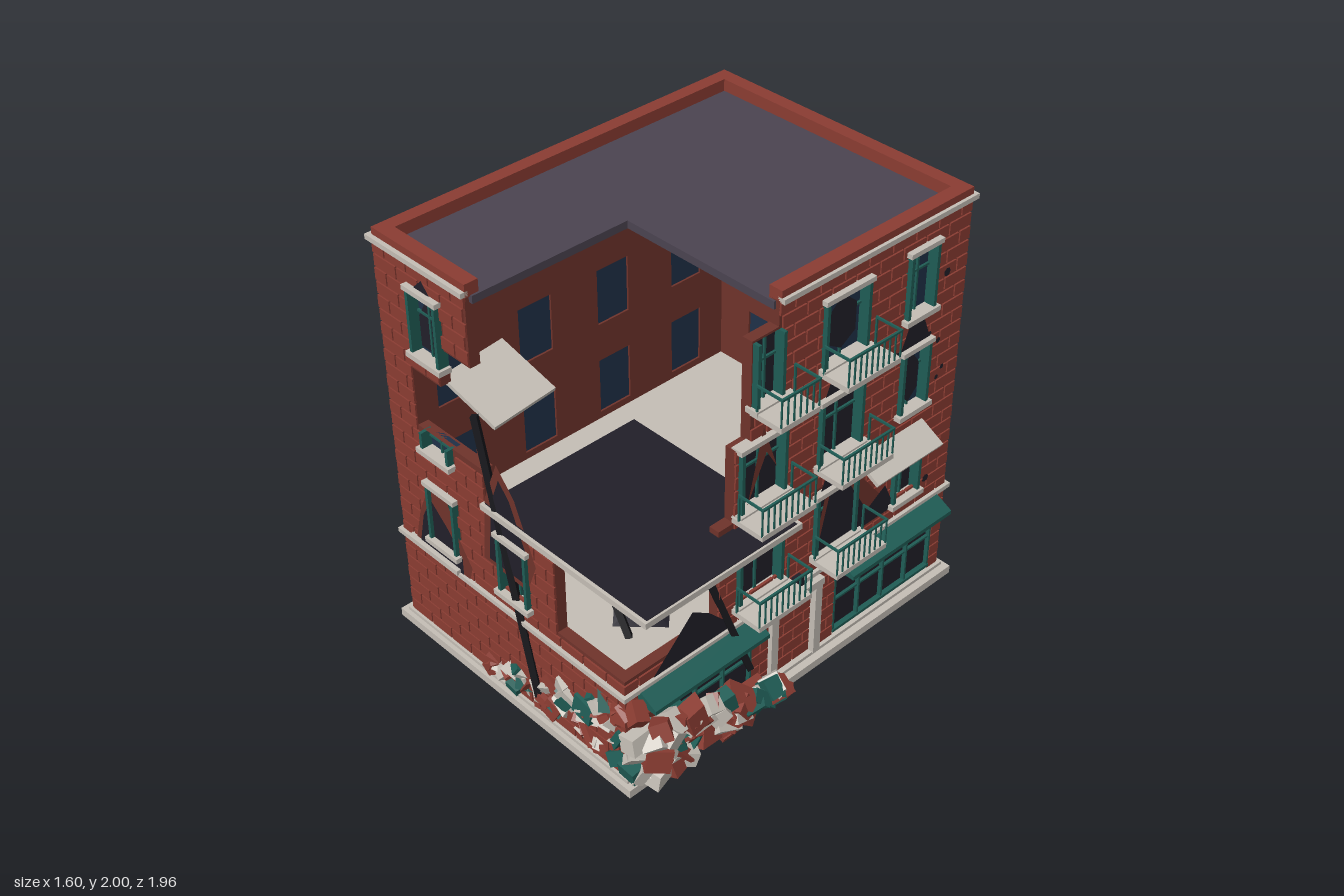
import * as THREE from 'three';
import { mergeGeometries } from 'three/addons/utils/BufferGeometryUtils.js';

const C = { brick: 0x8a3c32, inner: 0x6f332b, stone: 0xc4beb5, teal: 0x1f5c55, dark: 0x211f29, roof: 0x4b4350, glass: 0x1f3048, beam: 0x16161a };
const mats = {};
const mat = (c) => (mats[c] ??= new THREE.MeshStandardMaterial({ color: C[c], side: THREE.DoubleSide }));
const FLOORS = [0.6, 1.07, 1.54];

let seed = 7;
const rnd = () => (seed = (seed * 16807) % 2147483647) / 2147483647;

function add(parent, name, color, geo) {
  const m = new THREE.Mesh(geo, mat(color));
  m.name = name;
  parent.add(m);
  return m;
}
// box from ranges [x0, x1, y0, y1, z0, z1]
const box = ([x0, x1, y0, y1, z0, z1]) =>
  new THREE.BoxGeometry(x1 - x0, y1 - y0, z1 - z0).translate((x0 + x1) / 2, (y0 + y1) / 2, (z0 + z1) / 2);
const boxes = (p, name, color, list) => add(p, name, color, mergeGeometries(list.map(box)));

// solid intervals of the strip y0..y1 between a and b, minus rectangular gaps [u0, u1, y0, y1]
function spans(a, b, y0, y1, gaps) {
  let out = [[a, b]];
  for (const [g0, g1, h0, h1] of gaps) {
    if (h1 <= y0 + 1e-4 || h0 >= y1 - 1e-4) continue;
    out = out.flatMap(([s, e]) => [[s, Math.min(e, g0)], [Math.max(s, g1), e]].filter(([p, q]) => q - p > 0.004));
  }
  return out;
}

// wall in local axes: u along, y up, outside facing +z
function wall(root, name, angle, offset, a, b, gaps) {
  const g = new THREE.Group();
  g.name = name;
  g.rotation.y = angle;
  g.position.set(Math.sin(angle) * offset, 0, Math.cos(angle) * offset);
  root.add(g);
  const ys = [...new Set([0.05, 1.95, ...gaps.flatMap((q) => [q[2], q[3]])])].sort((p, q) => p - q);
  const core = [], bricks = [];
  for (let i = 0; i + 1 < ys.length; i++)
    for (const [s, e] of spans(a, b, ys[i], ys[i + 1], gaps)) core.push([s, e, ys[i], ys[i + 1], -0.05, 0]);
  const H = 0.0633, W = 0.135;
  for (let r = 0; r < 30; r++) {
    const y = 0.05 + r * H, mid = y + H / 2;
    for (const [s, e] of spans(a - 0.008, b + 0.008, mid - 0.01, mid + 0.01, gaps))
      for (let u = a - (r % 2) * W / 2; u < b; u += W) {
        const p = Math.max(s, u + 0.004), q = Math.min(e, u + W - 0.004);
        if (q - p > 0.012) bricks.push([p, q, y + 0.004, y + H - 0.004, -0.004, 0.008]);
      }
  }
  boxes(g, 'wallCore', 'inner', core);
  boxes(g, 'bricks', 'brick', bricks);
  return g;
}

// framed window with lintel and sill
function windowUnit(p, u, y, w, h, pane = 'glass', lintel = true) {
  const g = new THREE.Group(), k = w / 2;
  g.name = 'window';
  g.position.set(u, y, 0);
  p.add(g);
  boxes(g, 'pane', pane, [[-k, k, 0, h, -0.04, -0.02]]);
  boxes(g, 'frame', 'teal', [[-k, -k + 0.016, 0, h, -0.03, 0.03], [k - 0.016, k, 0, h, -0.03, 0.03],
    [-0.005, 0.005, 0, h, -0.02, -0.01], [-k, k, h * 0.62, h * 0.62 + 0.01, -0.02, -0.01]]);
  const trim = [[-k - 0.015, k + 0.015, -0.02, 0.004, -0.02, 0.042]];
  if (lintel) trim.push([-k - 0.012, k + 0.012, h - 0.004, h + 0.018, -0.02, 0.035]);
  boxes(g, 'stoneTrim', 'stone', trim);
}

function balcony(p, u, y, w) {
  const g = new THREE.Group(), k = w / 2, D = 0.165;
  g.name = 'balcony';
  g.position.set(u, y - 0.03, 0);
  p.add(g);
  boxes(g, 'balconySlab', 'stone', [[-k, k, 0, 0.025, 0, D]]);
  const bars = [[-k, k, 0.145, 0.155, D - 0.01, D]];
  for (const s of [-k, k - 0.008]) bars.push([s, s + 0.008, 0.145, 0.155, 0.03, D], [s, s + 0.008, 0.02, 0.15, 0.03, 0.038]);
  const n = Math.round(w / 0.035);
  for (let i = 0; i <= n; i++) {
    const x = -k + (i / n) * (w - 0.006);
    bars.push([x, x + 0.006, 0.02, 0.15, D - 0.008, D - 0.002]);
  }
  boxes(g, 'railing', 'teal', bars);
}

// flat ragged patch on a wall
function patch(p, name, color, pts, z = 0.012) {
  add(p, name, color, new THREE.ShapeGeometry(new THREE.Shape(pts.map(([x, y]) => new THREE.Vector2(x, y)))).translate(0, 0, z));
}

function beam(p, a, b, r = 0.02) {
  const A = new THREE.Vector3(...a), B = new THREE.Vector3(...b), d = B.clone().sub(A);
  const m = add(p, 'fallenBeam', 'beam', new THREE.CylinderGeometry(r, r, d.length(), 4).toNonIndexed());
  m.geometry.computeVertexNormals();
  m.position.copy(A.add(B).multiplyScalar(0.5));
  m.quaternion.setFromUnitVectors(new THREE.Vector3(0, 1, 0), d.normalize());
}

function slab(p, name, size, pos, rot) {
  const m = add(p, name, 'stone', new THREE.BoxGeometry(...size));
  m.position.set(...pos);
  m.rotation.set(...rot);
}

export function createModel() {
  const root = new THREE.Group();
  root.name = 'ruinedBuilding';
  const hole = (u, y, w, h) => [u - w / 2, u + w / 2, y, y + h];
  const grid = (us) => us.flatMap((u) => FLOORS.map((y) => [u, y, 0.18, 0.28]));

  // plinth, floors and roof
  boxes(root, 'plinth', 'stone', [[-0.8, 0.69, 0, 0.04, -0.98, 0.98], [-0.77, 0.655, 0.04, 0.056, -0.96, 0.96]]);
  boxes(root, 'lowerFloor', 'stone', [[-0.72, 0.61, 0.54, 0.565, -0.91, 0.92]]);
  boxes(root, 'brokenFloorSlab', 'stone', [[-0.17, 0.79, 0.972, 1, 0.14, 0.97]]);
  boxes(root, 'floorSurface', 'dark', [[-0.155, 0.78, 0.99, 1.003, 0.16, 0.955]]);
  boxes(root, 'roof', 'roof', [[-0.73, 0.61, 1.91, 1.945, -0.92, 0.15], [-0.73, -0.18, 1.91, 1.945, 0.15, 0.92]]);
  boxes(root, 'parapet', 'brick', [[-0.755, -0.69, 1.94, 2, -0.945, 0.945], [-0.69, -0.19, 1.94, 2, 0.88, 0.945],
    [-0.69, 0.64, 1.94, 2, -0.945, -0.88], [0.575, 0.64, 1.94, 2, -0.88, 0.14]]);
  const band = (name, y0, y1, o, fx, rz) => boxes(root, name, 'stone', [
    [-0.75 - o, -0.74, y0, y1, -0.94 - o, 0.94 + o], [-0.74, 0.63 + o, y0, y1, -0.94 - o, -0.93],
    [-0.74, fx, y0, y1, 0.93, 0.94 + o], [0.62, 0.63 + o, y0, y1, -0.93, rz]]);
  band('cornice', 1.945, 1.968, 0.025, -0.19, 0.14);
  band('stringCourse', 0.488, 0.51, 0.025, 0.655, 0.965);

  // intact back and left walls
  for (const [name, angle, off, a, b, us] of [['backWall', Math.PI, 0.94, -0.63, 0.75, [-0.4, 0, 0.43]],
    ['leftWall', -Math.PI / 2, 0.75, -0.94, 0.94, [-0.66, -0.22, 0.22, 0.66]]]) {
    const ws = grid(us);
    const w = wall(root, name, angle, off, a, b, ws.map((q) => hole(...q)));
    ws.forEach((q) => windowUnit(w, ...q));
  }

  // front wall with its collapsed corner
  const fw = [[-0.45, 0.6, 0.18, 0.28, 'dark'], [0, 0.6, 0.18, 0.28, 'dark'], [-0.45, 1.07, 0.18, 0.08, 'glass', false], [-0.45, 1.54, 0.18, 0.29, 'glass']];
  const front = wall(root, 'frontWall', 0, 0.94, -0.75, 0.63, [[0.24, 0.64, 0.57, 0.98], [-0.17, 0.64, 0.98, 1.95],
    [-0.58, -0.17, 1.15, 1.43], [-0.4, -0.17, 1.43, 1.62], [-0.2, -0.17, 1.62, 1.95], ...fw.map((q) => hole(...q))]);
  fw.forEach((q) => windowUnit(front, ...q));
  patch(front, 'crackRim', 'inner', [[-0.66, 0.51], [-0.61, 0.7], [-0.54, 0.85], [-0.42, 0.86], [-0.36, 0.7], [-0.28, 0.58], [-0.3, 0.51]]);
  patch(front, 'crack', 'dark', [[-0.63, 0.51], [-0.59, 0.68], [-0.53, 0.8], [-0.42, 0.7], [-0.34, 0.59], [-0.34, 0.51]], 0.014);
  patch(front, 'crackRim', 'inner', [[-0.19, 0.7], [-0.16, 1.02], [-0.07, 1.24], [0.03, 1.12], [0.14, 0.85], [0.08, 0.69]]);
  patch(front, 'crack', 'dark', [[-0.15, 0.72], [-0.12, 1.02], [-0.06, 1.17], [0.0, 1.1], [0.08, 0.9], [0.06, 0.72]], 0.014);
  patch(front, 'crack', 'dark', [[-0.52, 1.83], [-0.45, 1.9], [-0.39, 1.83]]);
  patch(front, 'paneShard', 'dark', [[-0.52, 1.56], [-0.52, 1.7], [-0.45, 1.82], [-0.39, 1.7], [-0.39, 1.56]], -0.015);
  boxes(front, 'fallenLedge', 'stone', [[-0.69, -0.36, 0.505, 0.528, 0, 0.035]]);

  // right wall (u runs toward the back)
  const rw = [];
  FLOORS.forEach((y, i) => {
    rw.push(i < 2 ? [-0.22, y, 0.25, 0.3, 'dark'] : [-0.2, y, 0.15, 0.29, 'dark', false]);
    rw.push([0.22, y, 0.25, 0.3, i < 2 ? 'dark' : 'glass'], [0.66, y, 0.17, 0.3, i ? 'glass' : 'dark']);
  });
  const shops = [-0.565, 0.565];
  const right = wall(root, 'rightWall', Math.PI / 2, 0.63, -0.94, 0.94, [[-0.95, -0.44, 0.57, 1.03], [-0.95, -0.36, 1.03, 1.38],
    [-0.95, -0.28, 1.38, 1.84], [-0.95, -0.14, 1.84, 1.95], [-0.15, 0.15, 0.05, 0.46], ...shops.map((u) => hole(u, 0.07, 0.63, 0.37)), ...rw.map((q) => hole(...q))]);
  rw.forEach((q) => windowUnit(right, ...q));
  FLOORS.forEach((y, i) => {
    balcony(right, i < 2 ? -0.22 : -0.18, y, i < 2 ? 0.3 : 0.21);
    balcony(right, 0.23, y, 0.3);
  });
  for (const u of shops) {
    boxes(right, 'shopPane', 'dark', [[u - 0.315, u + 0.315, 0.07, 0.44, -0.03, -0.01]]);
    const f = [[u - 0.315, u + 0.315, 0.07, 0.085, -0.02, 0.014], [u - 0.315, u + 0.315, 0.24, 0.25, -0.01, 0.004]];
    for (let i = 0; i <= 4; i++) f.push([u - 0.315 + i * 0.155, u - 0.305 + i * 0.155, 0.07, 0.44, -0.02, 0.01]);
    boxes(right, 'shopFrame', 'teal', f);
    const awning = new THREE.Shape([[0, 0.43], [0.11, 0.43], [0.11, 0.45], [0.02, 0.495], [0, 0.495]].map(([x, y]) => new THREE.Vector2(x, y)));
    add(right, 'awning', 'teal', new THREE.ExtrudeGeometry(awning, { depth: 0.63, bevelEnabled: false }).rotateY(-Math.PI / 2).translate(u + 0.315, 0, 0));
  }
  // bricked-up doorway and lamp
  boxes(right, 'doorFrame', 'stone', [[-0.15, -0.11, 0.05, 0.46, -0.03, 0.03], [0.11, 0.15, 0.05, 0.46, -0.03, 0.03], [-0.155, 0.155, 0.425, 0.462, -0.03, 0.035]]);
  boxes(right, 'doorBacking', 'teal', [[-0.11, 0.11, 0.05, 0.43, -0.04, -0.01]]);
  const fill = [];
  for (let r = 0; r < 6; r++)
    for (let u = -0.11 - (r % 2) * 0.06; u < 0.11; u += 0.12)
      fill.push([Math.max(-0.11, u + 0.004), Math.min(0.11, u + 0.116), 0.056 + r * 0.062, 0.11 + r * 0.062, -0.02, 0]);
  boxes(right, 'doorBricks', 'brick', fill.filter((q) => q[1] - q[0] > 0.01));
  boxes(right, 'lamp', 'dark', [[-0.022, 0.022, 0.505, 0.55, 0, 0.04]]);
  // scorch marks, cracks and bullet holes
  for (const [u, y] of [[0.22, 1.37], [0.66, 1.37], [0.22, 0.9], [-0.22, 0.9]])
    patch(right, 'scorchMark', 'dark', [[u - 0.1, y], [u - 0.04, y + 0.15], [u + 0.03, y + 0.15], [u + 0.09, y]]);
  patch(right, 'crackRim', 'inner', [[0.09, 0.58], [0.16, 0.9], [0.32, 0.93], [0.5, 0.7], [0.52, 0.58]]);
  patch(right, 'crack', 'dark', [[0.11, 0.58], [0.18, 0.88], [0.28, 0.9], [0.42, 0.66], [0.53, 0.73], [0.6, 0.58]], 0.014);
  patch(right, 'crack', 'dark', [[-0.8, 0.51], [-0.59, 0.72], [-0.5, 0.66], [-0.36, 0.51]]);
  patch(right, 'paneShard', 'inner', [[-0.3, 1.09], [-0.22, 1.43], [-0.14, 1.2], [-0.2, 1.3]], 0.014);
  for (const [u, y, r] of [[0.22, 1.7, 0.08], [0.66, 1.22, 0.05]])
    patch(right, 'paneShard', 'dark', [[u - r, y - 0.08], [u - r, y + 0.05], [u, y + 0.12], [u + r, y + 0.05], [u + r, y - 0.08], [u, y - 0.13]], -0.008);
  for (const [u, y, r] of [[0.82, 1.66, 0.02], [0.54, 1.38, 0.02], [0.8, 1.34, 0.014], [0.84, 1.19, 0.012], [0.81, 1.15, 0.012], [0.74, 1.4, 0.012],
    [0.47, 0.82, 0.02], [0.53, 0.8, 0.02], [0.83, 0.76, 0.014], [0.8, 0.62, 0.02]])
    add(right, 'bulletHole', 'dark', new THREE.CircleGeometry(r, 7).translate(u, y, 0.0125));

  // tilted broken slabs and beams
  slab(root, 'tiltedSlab', [0.31, 0.02, 0.33], [-0.31, 1.39, 0.73], [0.03, 0.08, -0.35]);
  slab(root, 'brokenBalconySlab', [0.14, 0.02, 0.4], [0.715, 0.95, -0.52], [0, 0, -0.5]);
  beam(root, [-0.2, 1.4, 0.94], [0.12, 0.15, 0.96]);
  beam(root, [0.24, 0.92, 0.75], [0.45, 0.56, 0.75]);
  beam(root, [0.57, 0.97, 0.52], [0.7, 0.28, 0.32]);
  const spill = add(root, 'floorDebris', 'dark', new THREE.ConeGeometry(0.2, 0.12, 4));
  spill.position.set(0.36, 0.6, 0.6);

  // rubble heap wrapped around the front right corner
  const parts = { brick: [], stone: [], teal: [] };
  const keys = ['brick', 'stone', 'brick', 'teal', 'stone'];
  for (let i = 0; i < 120; i++) {
    const onFront = i % 2 === 0, t = Math.pow(rnd(), 0.8);
    const top = 0.07 + 0.33 * t;
    const g = new THREE.BoxGeometry(0.05 + rnd() * 0.1, 0.03 + rnd() * 0.07, 0.04 + rnd() * 0.08);
    const P = g.attributes.position, sx = rnd() * 0.5;
    for (let k = 0; k < P.count; k++) P.setX(k, P.getX(k) * (1 - sx * Math.sign(P.getY(k)) * 0.5));
    g.rotateX(rnd() * 3).rotateY(rnd() * 3).rotateZ(rnd() * 3);
    const y = 0.06 + rnd() * top, out = 0.06 * (1 - y);
    if (onFront) g.translate(-0.22 + 0.92 * t, y, 0.91 + out * rnd());
    else g.translate(0.64 + out + 0.07 * rnd(), y * 0.85, 0.15 + 0.75 * t);
    g.computeBoundingBox();
    const b = g.boundingBox;
    g.translate(Math.min(0, 0.795 - b.max.x), Math.max(0, 0.045 - b.min.y), Math.min(0, 0.978 - b.max.z));
    const f = g.toNonIndexed();
    f.computeVertexNormals();
    parts[keys[i % 5]].push(f);
  }
  for (const k in parts) add(root, k + 'Rubble', k, mergeGeometries(parts[k]));
  return root;
}
